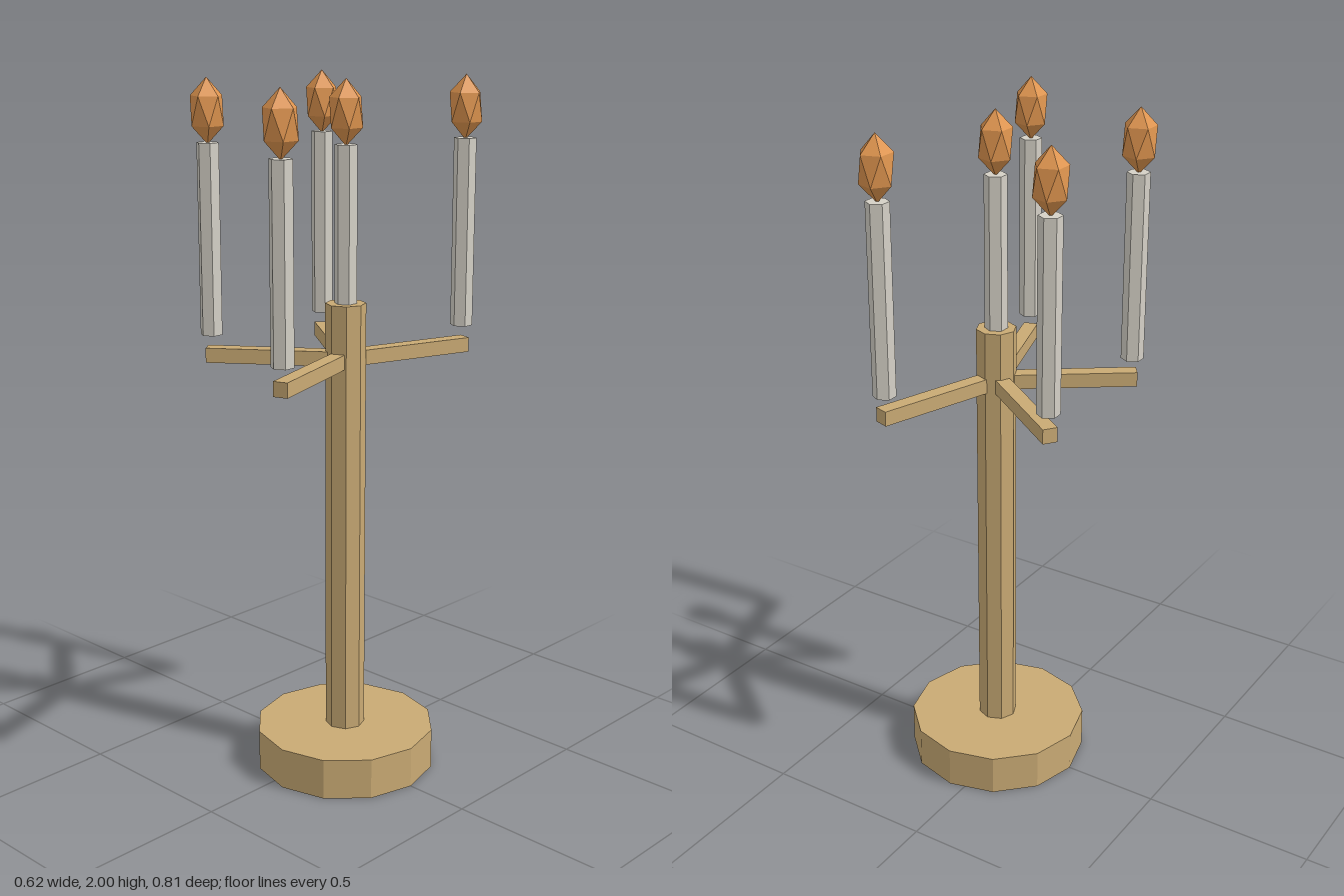
import * as THREE from 'three';

const wood = new THREE.MeshStandardMaterial({ color: 0xc9aa74 });
wood.name = 'brass';
const wax = new THREE.MeshStandardMaterial({ color: 0xd4d0c6 });
wax.name = 'wax';
const fire = new THREE.MeshStandardMaterial({ color: 0xdf954f });
fire.name = 'flame orange';

// Split the faces so every facet gets its own flat normal.
function faceted(geometry) {
  const flat = geometry.index ? geometry.toNonIndexed() : geometry;
  flat.computeVertexNormals();
  return flat;
}

function addMesh(parent, name, geometry, material) {
  const mesh = new THREE.Mesh(geometry, material);
  mesh.name = name;
  parent.add(mesh);
  return mesh;
}

// Upright prism between two heights.
function prism(radius, y0, y1, sides) {
  return faceted(new THREE.CylinderGeometry(radius, radius, y1 - y0, sides).translate(0, (y0 + y1) / 2, 0));
}

export function createModel() {
  const model = new THREE.Group();
  model.name = 'candelabrum';
  const body = new THREE.Group();
  body.name = 'body';
  body.position.x = 0.045;
  model.add(body);

  // Base and column
  addMesh(body, 'base', prism(0.263, 0, 0.12, 12), wood);
  addMesh(body, 'column', prism(0.057, 0.12, 1.39, 8), wood);

  // Shared candle, flame (icosahedron standing on a vertex) and arm shapes
  const candle = prism(0.032, 1.29, 1.825, 6);
  const tilt = Math.atan(2 / (1 + Math.sqrt(5)));
  const flame = faceted(
    new THREE.IcosahedronGeometry(0.0515, 0).rotateZ(-tilt).scale(1, 1.75, 1).translate(0, 1.91, 0)
  );
  const arm = new THREE.BoxGeometry(0.395, 0.042, 0.042).translate(0.1975, 1.233, 0);

  function addCandle(name, x, z) {
    const group = new THREE.Group();
    group.name = name;
    group.position.set(x, 0, z);
    addMesh(group, 'candle', candle, wax);
    addMesh(group, 'flame', flame, fire);
    body.add(group);
  }

  addCandle('centreCandle', 0, 0);

  // Four arms at multiples of a fifth of a turn, each under its candle
  for (let i = 1; i <= 4; i++) {
    const angle = (i * Math.PI * 2) / 5;
    addMesh(body, 'arm' + i, arm, wood).rotation.y = -angle;
    addCandle('armCandle' + i, 0.381 * Math.cos(angle), 0.381 * Math.sin(angle));
  }
  return model;
}
